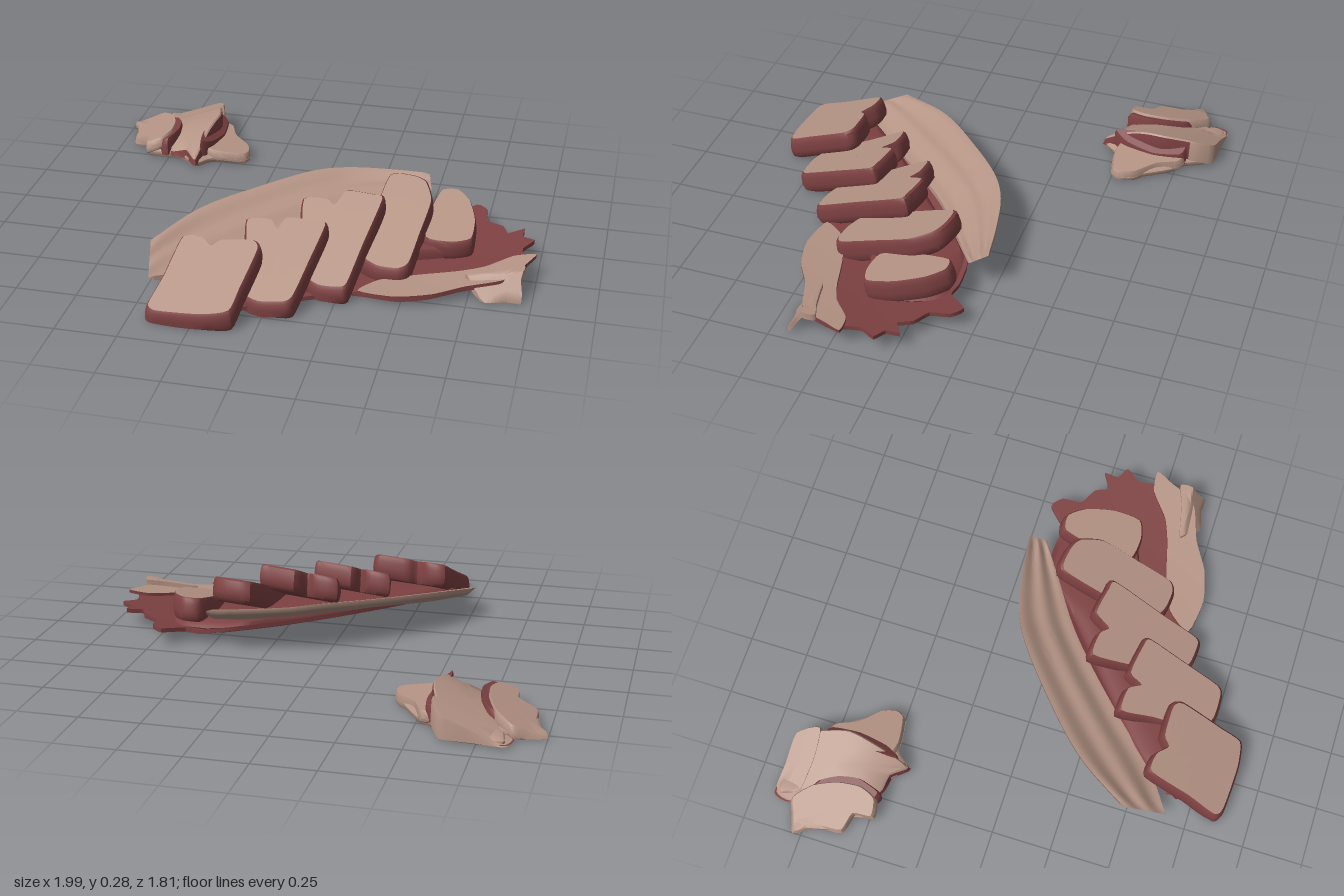
import * as THREE from 'three';
import { toCreasedNormals } from 'three/addons/utils/BufferGeometryUtils.js';

const tan = new THREE.MeshStandardMaterial({ color: 0xb59485 });
tan.name = 'tan crust';
const red = new THREE.MeshStandardMaterial({ color: 0x7e4142 });
red.name = 'dark red meat';

// Join equal-length closed rings, first ring on top, into one creased surface
function skin(rings, crease = 0.7) {
  const n = rings[0].length, index = [];
  for (let r = 0; r < rings.length - 1; r++) {
    for (let i = 0; i < n; i++) {
      const j = (i + 1) % n, a = r * n + i, b = r * n + j;
      index.push(a, a + n, b + n, a, b + n, b);
    }
  }
  const geo = new THREE.BufferGeometry();
  geo.setAttribute('position', new THREE.Float32BufferAttribute(rings.flat(2), 3));
  geo.setIndex(index);
  return toCreasedNormals(geo.toNonIndexed(), crease);
}

// Slab following an (x, z) outline. rings: [scale, depth]; split: ring where the tan top ends
function slab(name, outline, height, rings, { split = 0, sideMat = red, lean = 0, floor = 0.005, center, samples = 4 } = {}) {
  const curve = new THREE.CatmullRomCurve3(
    outline.map(([x, z]) => new THREE.Vector3(x, 0, z)), true, 'catmullrom', 0.3);
  const pts = [];
  const total = outline.length * samples;
  for (let i = 0; i < total; i++) {
    const p = curve.getPoint(i / total);
    pts.push([p.x, p.z]);
  }
  if (THREE.ShapeUtils.area(pts.map(([x, y]) => ({ x, y }))) > 0) pts.reverse();
  const c = center || [0, 1].map(k => pts.reduce((s, p) => s + p[k], 0) / pts.length);
  const layers = rings.map(([s, d]) => pts.map(([px, pz]) => {
    const x = c[0] + (px - c[0]) * s, z = c[1] + (pz - c[1]) * s;
    return [x, Math.max(floor, height(x, z) - d), z - d * lean];
  }));
  const group = new THREE.Group();
  group.name = name;
  if (split) {
    const top = new THREE.Mesh(skin(layers.slice(0, split + 1)), tan);
    top.name = name + 'Top';
    group.add(top);
  }
  const side = new THREE.Mesh(skin(layers.slice(split)), sideMat);
  side.name = name + 'Side';
  group.add(side);
  return group;
}

const sheetRings = t => [[0.001, 0], [0.25, 0], [0.5, 0], [0.75, 0], [1, 0],
  [1, t], [0.75, t], [0.5, t], [0.25, t], [0.001, t]];
const sliceRings = t => [[0.001, 0], [0.5, 0], [0.945, 0], [0.985, 0.008], [1.01, 0.03],
  [1.02, t * 0.6], [1, t * 0.85], [0.92, t], [0.001, t]];

// Long ridged rind, rising toward its outer edge
function rind() {
  const curve = a => new THREE.CatmullRomCurve3(a.map(p => new THREE.Vector3(...p)));
  const outer = curve([[-0.52, 0.14, 0.49], [-0.38, 0.18, 0.26], [-0.18, 0.2, 0.06],
    [0.03, 0.215, -0.11], [0.15, 0.21, -0.17], [0.33, 0.2, -0.21], [0.49, 0.19, -0.23]]);
  const inner = curve([[-0.48, 0.07, 0.66], [-0.32, 0.06, 0.55], [-0.14, 0.085, 0.36],
    [0.04, 0.105, 0.18], [0.18, 0.115, 0.06], [0.36, 0.125, -0.06], [0.51, 0.15, -0.16]]);
  const U = 40, V = 18, rings = [];
  for (let i = 0; i <= U; i++) {
    const u = i / U, a = outer.getPoint(u), b = inner.getPoint(u), ring = [];
    const open = i > 0 && i < U ? 1 : 0;
    for (let k = 0; k < 2 * (V + 1); k++) {
      const under = k > V, v = (under ? 2 * V + 1 - k : k) / V;
      const p = a.clone().lerp(b, v);
      const shift = under ? -0.018 : 0.006 * Math.sin(v * 13 + u * 1.5);
      ring.push([p.x, p.y + shift * open, p.z]);
    }
    rings.push(ring.reverse());
  }
  const mesh = new THREE.Mesh(skin(rings, 1.2), tan);
  mesh.name = 'rind';
  return mesh;
}

export function createModel() {
  const model = new THREE.Group();
  model.name = 'slicedMeat';

  // Saucer-like base sheet with a ragged end, lifted toward the rind
  const bowl = (x, z) => 0.025 + 0.1 * (Math.max(0, x - 0.2) ** 2 + (z - 0.4) ** 2)
    + 0.35 * Math.max(0, 0.3 - (x + z) / 1.414);
  model.add(slab('baseSheet', [[-0.4, 0.68], [-0.2, 0.42], [0, 0.2], [0.2, 0.04], [0.42, -0.12],
    [0.55, -0.13], [0.62, -0.12], [0.7, -0.2], [0.75, -0.16], [0.76, -0.08], [0.83, -0.04],
    [0.86, 0.02], [0.92, -0.02], [0.92, 0.04], [0.97, 0.07], [0.93, 0.13], [0.94, 0.2], [0.96, 0.24],
    [0.92, 0.34], [0.85, 0.39], [0.72, 0.44], [0.6, 0.51], [0.48, 0.54], [0.3, 0.52], [0.1, 0.62],
    [-0.1, 0.75], [-0.3, 0.8]], bowl, sheetRings(0.018), { center: [0.2, 0.4], samples: 3 }));

  // Meat filling under the slices
  model.add(slab('filling', [[-0.4, 0.64], [-0.2, 0.42], [0, 0.24], [0.2, 0.07], [0.4, -0.1],
    [0.65, -0.1], [0.72, 0.05], [0.66, 0.2], [0.42, 0.3], [0.25, 0.44], [0.05, 0.58], [-0.1, 0.68], [-0.3, 0.72]],
    (x, z) => Math.max(0.1, bowl(x, z) + 0.03),
    [[0.001, 0], [0.5, 0], [0.85, 0], [0.95, 0.01], [1, 0.03], [0.98, 0.05], [0.001, 0.055]],
    { center: [0.15, 0.35] }));

  model.add(rind());

  // Pale strip along the front of the base, with a drooping tab
  model.add(slab('paleStrip', [[0.99, 0.2], [0.9, 0.21], [0.8, 0.29], [0.7, 0.33], [0.55, 0.37],
    [0.4, 0.43], [0.33, 0.53], [0.48, 0.555], [0.62, 0.52], [0.74, 0.45], [0.88, 0.4], [0.93, 0.34], [0.96, 0.27]],
    (x, z) => bowl(x, z) + 0.014, sheetRings(0.014), { split: 4, center: [0.68, 0.41] }));
  model.add(slab('tab', [[0.73, 0.38], [0.8, 0.36], [0.88, 0.34], [0.95, 0.315], [0.96, 0.35], [0.95, 0.39],
    [0.96, 0.43], [0.9, 0.43], [0.82, 0.45]],
    (x, z) => Math.min(0.085 + 0.035 * (x - 0.73) / 0.23, 0.12 - (z - 0.37) * 1.5),
    [[0.001, 0], [0.4, 0], [0.7, 0], [1, 0], [1, 0.03], [0.5, 0.03], [0.001, 0.03]], { sideMat: tan }));

  // Overlapping slices: outline, back z and y, front z and y, sideways slope, thickness
  const slices = [
    { o: [[-0.37, 0.55], [-0.29, 0.55], [-0.24, 0.59], [-0.2, 0.56], [-0.07, 0.56], [-0.04, 0.6],
      [-0.07, 0.78], [-0.09, 0.88], [-0.2, 0.9], [-0.39, 0.89], [-0.43, 0.86], [-0.4, 0.73]],
      b: [0.57, 0.22], f: [0.9, 0.07], s: 0.1, t: 0.1 },
    { o: [[-0.16, 0.36], [-0.06, 0.36], [-0.02, 0.41], [0.01, 0.35], [0.15, 0.37], [0.18, 0.39],
      [0.15, 0.56], [0.12, 0.72], [0.09, 0.75], [-0.02, 0.75], [-0.1, 0.7], [-0.13, 0.5]],
      b: [0.38, 0.23], f: [0.75, 0.07], s: 0.12, t: 0.1 },
    { o: [[0.03, 0.18], [0.13, 0.18], [0.17, 0.21], [0.21, 0.14], [0.33, 0.16], [0.37, 0.18],
      [0.33, 0.4], [0.3, 0.58], [0.27, 0.6], [0.18, 0.59], [0.1, 0.53], [0.06, 0.35]],
      b: [0.18, 0.26], f: [0.6, 0.07], s: 0.12, t: 0.1 },
    { o: [[0.35, -0.05], [0.45, -0.05], [0.51, -0.02], [0.55, 0.08], [0.53, 0.25], [0.51, 0.4],
      [0.47, 0.43], [0.38, 0.42], [0.3, 0.36], [0.32, 0.15]],
      b: [0, 0.26], f: [0.43, 0.09], s: 0.08, t: 0.1 },
    { o: [[0.56, -0.1], [0.63, -0.11], [0.69, -0.04], [0.73, 0.08], [0.73, 0.2], [0.65, 0.23],
      [0.54, 0.21], [0.53, 0.05]],
      b: [-0.1, 0.2], f: [0.22, 0.13], s: 0.05, t: 0.1 },
  ];
  slices.forEach(({ o, b, f, s, t }, i) => {
    const cx = o.reduce((sum, p) => sum + p[0], 0) / o.length;
    const height = (x, z) => f[1] + (b[1] - f[1]) * (f[0] - z) / (f[0] - b[0]) + s * (x - cx);
    model.add(slab('slice' + (i + 1), o, height, sliceRings(t), { split: 2, lean: 0.2 }));
  });

  // Separate small chunk: pale underside, a leaning middle slice and two side pieces
  const ridge = (x, z) => 0.155 + 0.4 * (x + 0.56) - 1.5 * Math.max(0, z + 0.65) ** 2 - 0.4 * Math.min(0, z + 0.65) ** 2;
  const leftTop = x => 0.03 + 0.38 * Math.max(0, x + 0.97);
  model.add(slab('chunkBase', [[-0.97, -0.77], [-0.85, -0.83], [-0.85, -0.9], [-0.63, -0.89], [-0.56, -0.78],
    [-0.5, -0.74], [-0.4, -0.58], [-0.4, -0.51], [-0.54, -0.48], [-0.6, -0.42], [-0.7, -0.49], [-0.84, -0.49],
    [-0.87, -0.57], [-0.93, -0.6]],
    () => 0.045, [[0.001, 0], [0.7, 0], [0.95, 0.005], [1, 0.015], [1, 0.025], [0.95, 0.04], [0.001, 0.04]],
    { sideMat: tan }));
  model.add(slab('chunkMiddle', [[-0.86, -0.91], [-0.74, -0.9], [-0.62, -0.89], [-0.58, -0.8], [-0.55, -0.68],
    [-0.57, -0.55], [-0.6, -0.41], [-0.66, -0.47], [-0.74, -0.49], [-0.76, -0.6], [-0.79, -0.74], [-0.88, -0.84]],
    ridge, sliceRings(0.11), { split: 3, floor: 0.02 }));
  model.add(slab('chunkBack', [[-0.86, -0.915], [-0.74, -0.905], [-0.615, -0.895], [-0.57, -0.8], [-0.7, -0.79], [-0.86, -0.82]],
    (x, z) => ridge(x, z) + 0.003, [[0.001, 0], [0.97, 0], [1, 0.01], [1.02, 0.1], [0.001, 0.1]],
    { sideMat: tan, floor: 0.015 }));
  model.add(slab('chunkRightMeat', [[-0.58, -0.78], [-0.54, -0.77], [-0.525, -0.65], [-0.55, -0.52], [-0.59, -0.46], [-0.6, -0.6]],
    x => 0.1 - 0.7 * (x + 0.56), [[0.001, 0], [0.95, 0], [1, 0.02], [1, 0.07], [0.001, 0.07]], { floor: 0.02 }));
  model.add(slab('chunkLeft', [[-1, -0.78], [-0.93, -0.81], [-0.87, -0.83], [-0.8, -0.76], [-0.76, -0.66],
    [-0.75, -0.56], [-0.78, -0.49], [-0.85, -0.48], [-0.86, -0.56], [-0.94, -0.59], [-0.95, -0.7]],
    leftTop, sliceRings(0.06), { sideMat: tan, floor: 0.01 }));
  model.add(slab('chunkLeftMeat', [[-0.81, -0.76], [-0.77, -0.74], [-0.735, -0.67], [-0.72, -0.58], [-0.75, -0.48],
    [-0.79, -0.5], [-0.79, -0.62]],
    x => leftTop(x) - 0.012, [[0.001, 0], [0.9, 0], [1, 0.02], [1, 0.08], [0.001, 0.08]], { floor: 0.02 }));
  model.add(slab('chunkRight', [[-0.58, -0.77], [-0.52, -0.77], [-0.48, -0.68], [-0.4, -0.6], [-0.38, -0.54],
    [-0.4, -0.5], [-0.52, -0.48], [-0.6, -0.52]],
    x => 0.06 + 0.1 * (-0.45 - x), sliceRings(0.05), { sideMat: tan }));
  return model;
}
